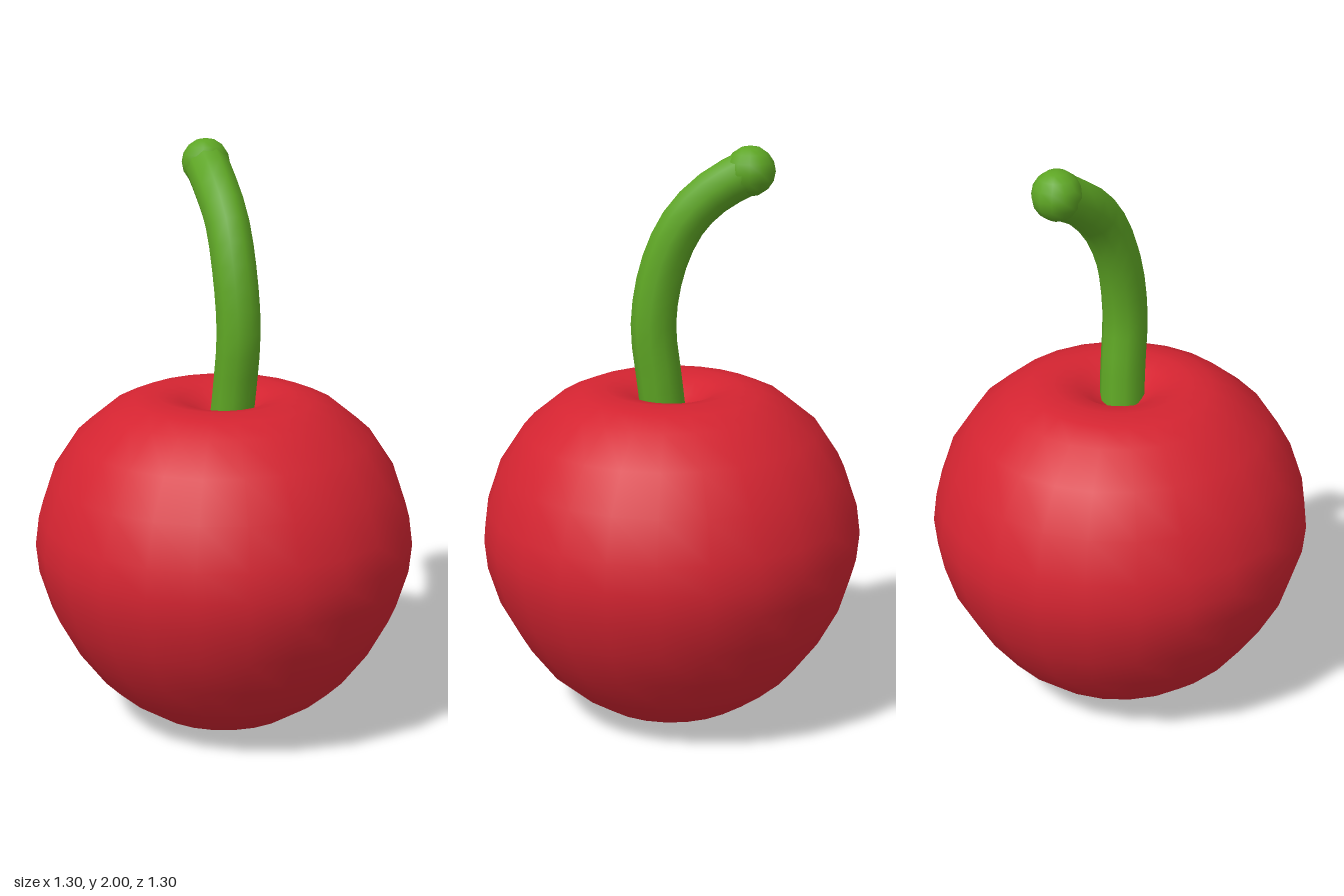
import * as THREE from 'three';

const v2 = (p) => new THREE.Vector2(...p);
const v3 = (p) => new THREE.Vector3(...p);

export function createModel() {
  const group = new THREE.Group();
  const red = new THREE.MeshStandardMaterial({ name: 'cherryRed', color: 0xd42431 });
  const green = new THREE.MeshStandardMaterial({ name: 'stemGreen', color: 0x5ea624 });
  const add = (name, geometry, material) => {
    const mesh = new THREE.Mesh(geometry, material);
    mesh.name = name;
    group.add(mesh);
    return mesh;
  };

  // Round fruit with a slightly flat base and a small dimple on top
  const profile = [
    [0, 0.015], [0.15, 0.005], [0.27, 0.05], [0.36, 0.11], [0.44, 0.18], [0.53, 0.3],
    [0.6, 0.43], [0.64, 0.56], [0.65, 0.66], [0.637, 0.76], [0.59, 0.9], [0.505, 1.03],
    [0.39, 1.125], [0.31, 1.16], [0.23, 1.172], [0.15, 1.155], [0.1, 1.12], [0, 1.06],
  ].map(v2);
  add('fruit', new THREE.LatheGeometry(profile, 24), red);

  // Bent stem, leaning back and to its left
  const path = new THREE.CatmullRomCurve3([
    [0, 1.04, 0.025], [0, 1.2, 0.045], [-0.004, 1.4, 0.065], [0.012, 1.6, 0.035],
    [0.05, 1.75, -0.025], [0.1, 1.85, -0.11], [0.165, 1.918, -0.205],
  ].map(v3));
  add('stem', new THREE.TubeGeometry(path, 14, 0.077, 10, false), green);

  // Rounded end of the stem
  const tip = add('stemTip', new THREE.SphereGeometry(0.083, 12, 8), green);
  tip.position.copy(path.getPoint(1));

  return group;
}
